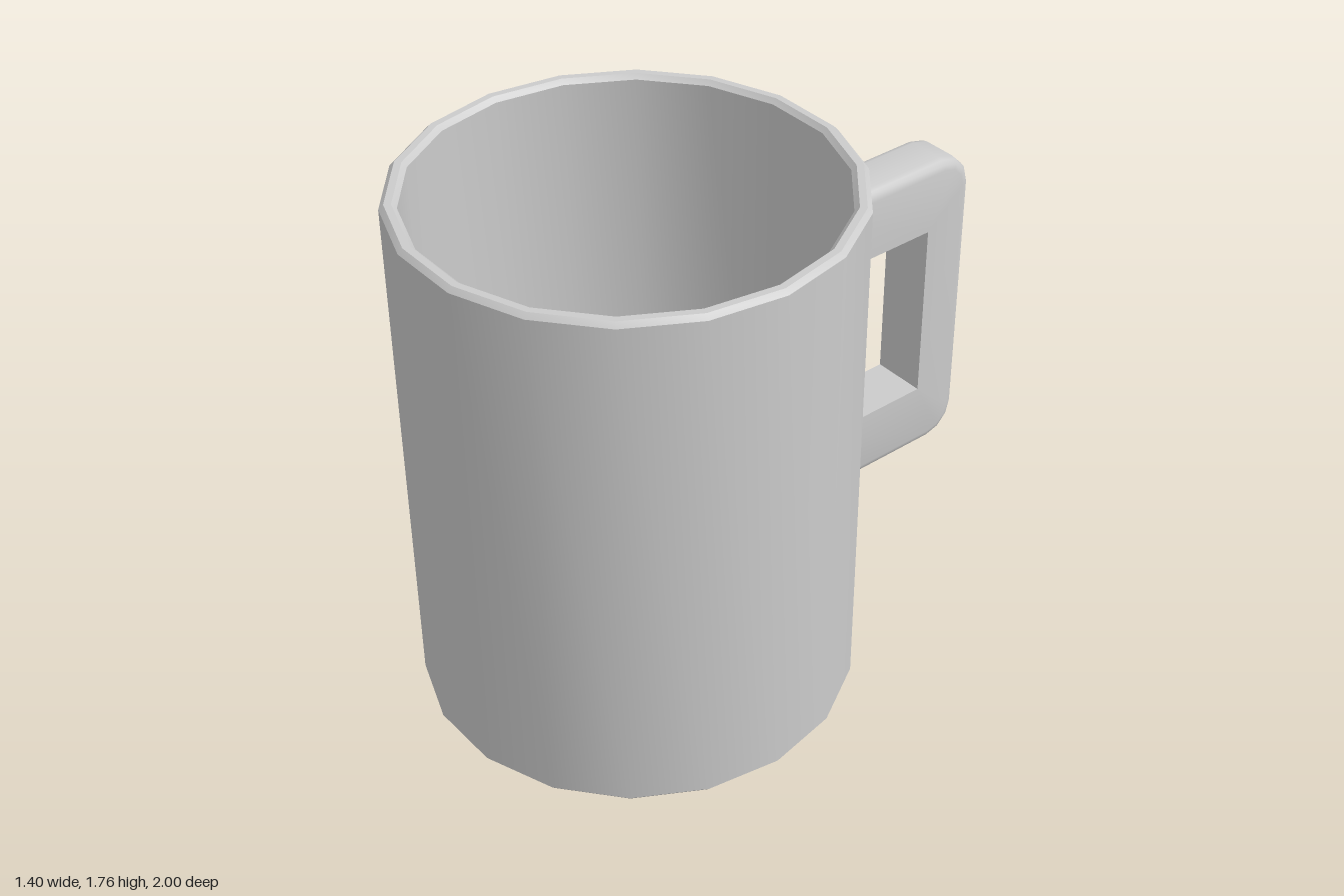
import * as THREE from 'three';
import { toCreasedNormals } from 'three/addons/utils/BufferGeometryUtils.js';

const grey = new THREE.MeshStandardMaterial({ color: 0xcccccc });

// 18-sided hollow body with small bevels at the rim and foot
function makeBody() {
  const profile = [
    [0, 0], [0.685, 0], [0.7, 0.017], [0.7, 1.745], [0.685, 1.76],
    [0.663, 1.76], [0.648, 1.745], [0.648, 0.06], [0, 0.06],
  ].map(([r, y]) => new THREE.Vector2(r, y));
  const geometry = new THREE.LatheGeometry(profile, 18, Math.PI / 2);
  const mesh = new THREE.Mesh(toCreasedNormals(geometry, 0.6), grey);
  mesh.name = 'cupBody';
  mesh.position.z = 0.31;
  return mesh;
}

// Squared handle: sections swept along a U, outer edges rounded, inner edges sharp
function makeHandle() {
  const half = 0.093, bevel = 0.035, corner = 0.12, steps = 3;
  const top = 1.437, bottom = 0.332, back = -1, root = -0.36;
  const holeTop = 1.197, holeBottom = 0.574, holeBack = -0.82;

  // Each station: outer point, inner point and outward angle (0 = up, 90 degrees = back)
  const stations = [{ oz: root, oy: top, iz: root, iy: holeTop, a: 0 }];
  const addCorner = (cy, iy, from) => {
    for (let i = 0; i <= steps; i++) {
      const a = from + (i / steps) * Math.PI / 2;
      stations.push({
        oz: back + corner - corner * Math.sin(a), oy: cy + corner * Math.cos(a),
        iz: holeBack, iy, a,
      });
    }
  };
  addCorner(top - corner, holeTop, 0);
  addCorner(bottom + corner, holeBottom, Math.PI / 2);
  stations.push({ oz: root, oy: bottom, iz: root, iy: holeBottom, a: Math.PI });

  const rings = stations.map(({ oz, oy, iz, iy, a }) => {
    const ring = [[-half, iy, iz], [half, iy, iz]];
    for (const side of [1, -1]) {
      for (let i = 0; i <= steps; i++) {
        const t = ((side > 0 ? i : steps - i) / steps) * Math.PI / 2;
        const x = side * (half - bevel + bevel * Math.cos(t));
        const inset = bevel * (1 - Math.sin(t));
        ring.push([x, oy - inset * Math.cos(a), oz + inset * Math.sin(a)]);
      }
    }
    return ring;
  });

  const n = rings[0].length, index = [];
  for (let s = 0; s < rings.length - 1; s++) {
    for (let j = 0; j < n; j++) {
      const a = s * n + j, b = s * n + (j + 1) % n;
      index.push(a, a + n, b, b, a + n, b + n);
    }
  }
  const geometry = new THREE.BufferGeometry();
  geometry.setAttribute('position', new THREE.Float32BufferAttribute(rings.flat(2), 3));
  geometry.setIndex(index);
  const mesh = new THREE.Mesh(toCreasedNormals(geometry, 0.7), grey);
  mesh.name = 'handle';
  return mesh;
}

export function createModel() {
  const group = new THREE.Group();
  group.name = 'mug';
  group.add(makeBody(), makeHandle());
  return group;
}
